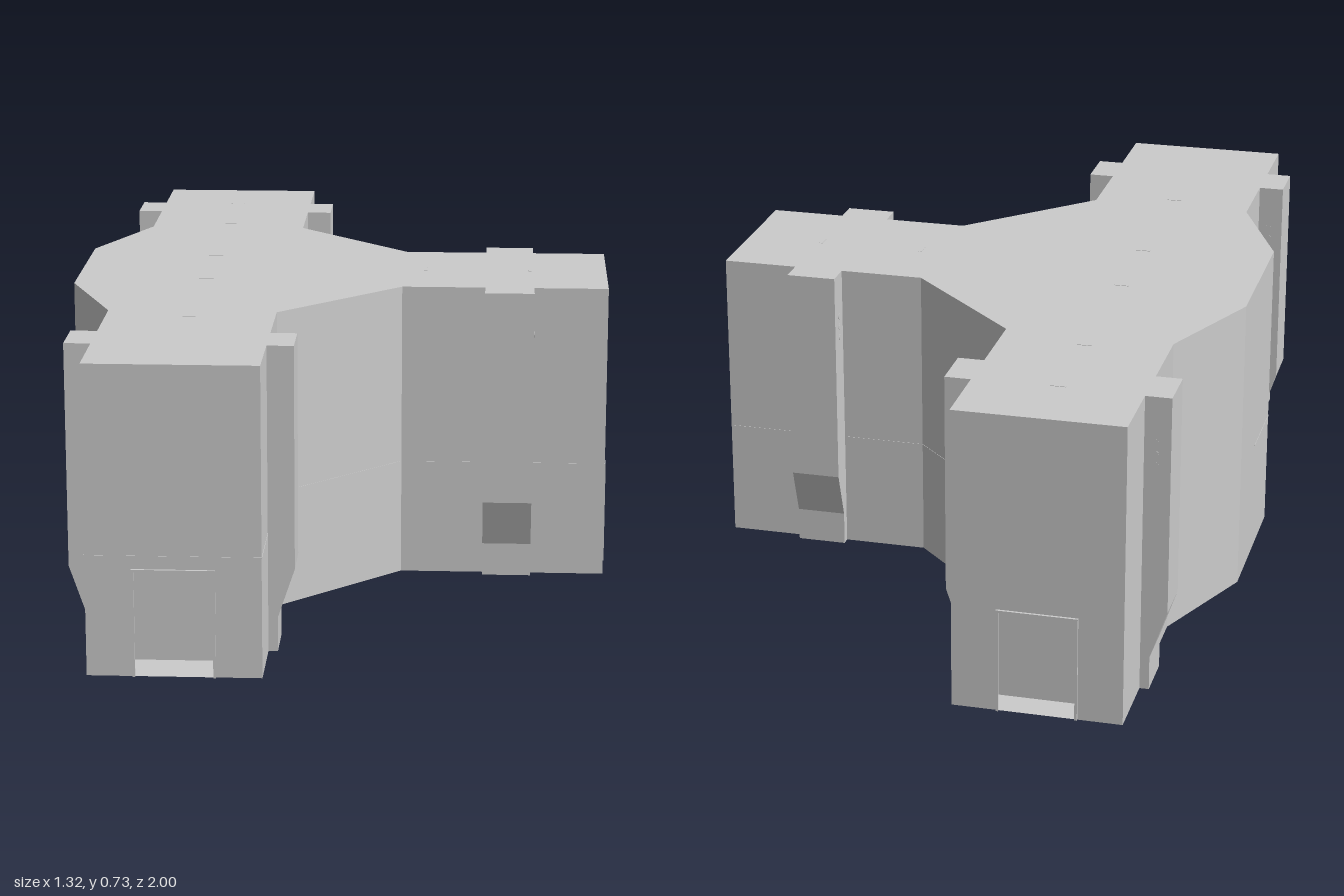
import * as THREE from 'three';

const H = 0.73, AX = -0.34, END = 0.994, TIP = 0.651;
const DOOR_W = 0.19, DOOR_H = 0.255, GAP = 0.04;
const grey = new THREE.MeshStandardMaterial({ color: 0xcccccc, flatShading: true, side: THREE.DoubleSide });

// Plan corners [x, z], running round the building; the last point closes the loop
const plan = [
  [-0.66, 0.2], [-0.54, 0.485], [-0.54, END], [-0.14, END], [-0.14, 0.485], [0.147, 0.2],
  [TIP, 0.2], [TIP, -0.2], [0.147, -0.2], [-0.14, -0.485], [-0.14, -END], [-0.54, -END],
  [-0.54, -0.485], [-0.66, -0.2],
];
const doorWalls = [2, 6, 10];

function add(parent, name, geometry, x = 0, y = 0, z = 0) {
  const mesh = new THREE.Mesh(geometry, grey);
  mesh.name = name;
  mesh.position.set(x, y, z);
  parent.add(mesh);
  return mesh;
}

const shapeOf = (points) => new THREE.Shape(points.map(([x, y]) => new THREE.Vector2(x, y)));

// Group whose local +x runs along the wall a -> b and whose +z faces outwards
function wallFrame(parent, name, a, b) {
  const g = new THREE.Group();
  g.name = name;
  g.position.set((a[0] + b[0]) / 2, 0, (a[1] + b[1]) / 2);
  g.rotation.y = Math.atan2(-(b[1] - a[1]), b[0] - a[0]);
  parent.add(g);
  return g;
}

// Door surround of two posts and a lintel
function addDoor(wall) {
  const t = 0.006;
  for (const s of [-1, 1]) {
    add(wall, 'doorPost', new THREE.BoxGeometry(t, DOOR_H, t), s * (DOOR_W - t) / 2, DOOR_H / 2, t / 2);
  }
  add(wall, 'doorLintel', new THREE.BoxGeometry(DOOR_W, t, t), 0, DOOR_H - t / 2, t / 2);
}

// Buttress with a chamfered foot, projecting towards local +z
function addButtress(parent, x, z, turn, ventSides, ventCount) {
  const g = new THREE.Group();
  g.name = 'buttress';
  g.position.set(x, 0, z);
  g.rotation.y = turn;
  parent.add(g);
  const w = 0.12;
  const profile = shapeOf([[0, 0], [0.022, 0], [0.022, 0.082], [0.062, 0.2], [0.062, H], [0, H]]);
  const geo = new THREE.ExtrudeGeometry(profile, { depth: w, bevelEnabled: false });
  geo.rotateY(-Math.PI / 2).translate(w / 2, 0, 0);
  add(g, 'buttressBody', geo);
  // Small round vents near the top of the side faces
  for (const side of ventSides) {
    for (let i = 0; i < ventCount; i++) {
      const vent = new THREE.CylinderGeometry(0.008, 0.008, 0.002, 12).rotateZ(Math.PI / 2);
      add(g, 'vent', vent, side * w / 2, 0.62 - i * 0.028, 0.026);
    }
  }
}

export function createModel() {
  const model = new THREE.Group();
  model.name = 'threeWingBuilding';

  // Walls, with a low gap under each door
  plan.forEach((a, i) => {
    const b = plan[(i + 1) % plan.length];
    const half = Math.hypot(b[0] - a[0], b[1] - a[1]) / 2;
    const wall = wallFrame(model, 'wall', a, b);
    const d = DOOR_W / 2;
    const hasDoor = doorWalls.includes(i);
    const gap = hasDoor ? [[-d, 0], [-d, GAP], [d, GAP], [d, 0]] : [];
    add(wall, 'wallPanel', new THREE.ShapeGeometry(
      shapeOf([[-half, 0], ...gap, [half, 0], [half, H], [-half, H]])));
    if (hasDoor) addDoor(wall);
    // Fine string course, stopping at the rear wing
    if (i < 10) add(wall, 'stringCourse', new THREE.BoxGeometry(half * 2, 0.003, 0.002), 0, 0.285, 0);
  });
  const half = wallFrame(model, 'stringCourseEnd', [-0.66, 0], plan[0]);
  add(half, 'stringCourse', new THREE.BoxGeometry(0.2, 0.003, 0.002), 0, 0.285, 0);

  // Flat roof and floor
  const outline = shapeOf(plan.map(([x, z]) => [x, -z]));
  add(model, 'roof', new THREE.ShapeGeometry(outline).rotateX(-Math.PI / 2), 0, H, 0);
  const floor = shapeOf(plan);
  add(model, 'floor', new THREE.ShapeGeometry(floor).rotateX(Math.PI / 2));

  // Buttresses on both sides of every wing
  for (const z of [-0.75, 0.75]) {
    addButtress(model, -0.14, z, Math.PI / 2, [1], 3);
    addButtress(model, -0.54, z, -Math.PI / 2, [-1], 3);
  }
  addButtress(model, 0.41, 0.2, 0, [1], 2);
  addButtress(model, 0.41, -0.2, Math.PI, [-1, 1], 3);

  // Small roof slots
  for (const z of [-0.8, -0.54, -0.13, 0.13, 0.535]) {
    add(model, 'roofSlot', new THREE.BoxGeometry(0.036, 0.002, 0.008), AX, H, z);
  }
  for (const x of [0.2, 0.46]) {
    add(model, 'roofSlot', new THREE.BoxGeometry(0.008, 0.002, 0.036), x, H, 0);
  }
  return model;
}
